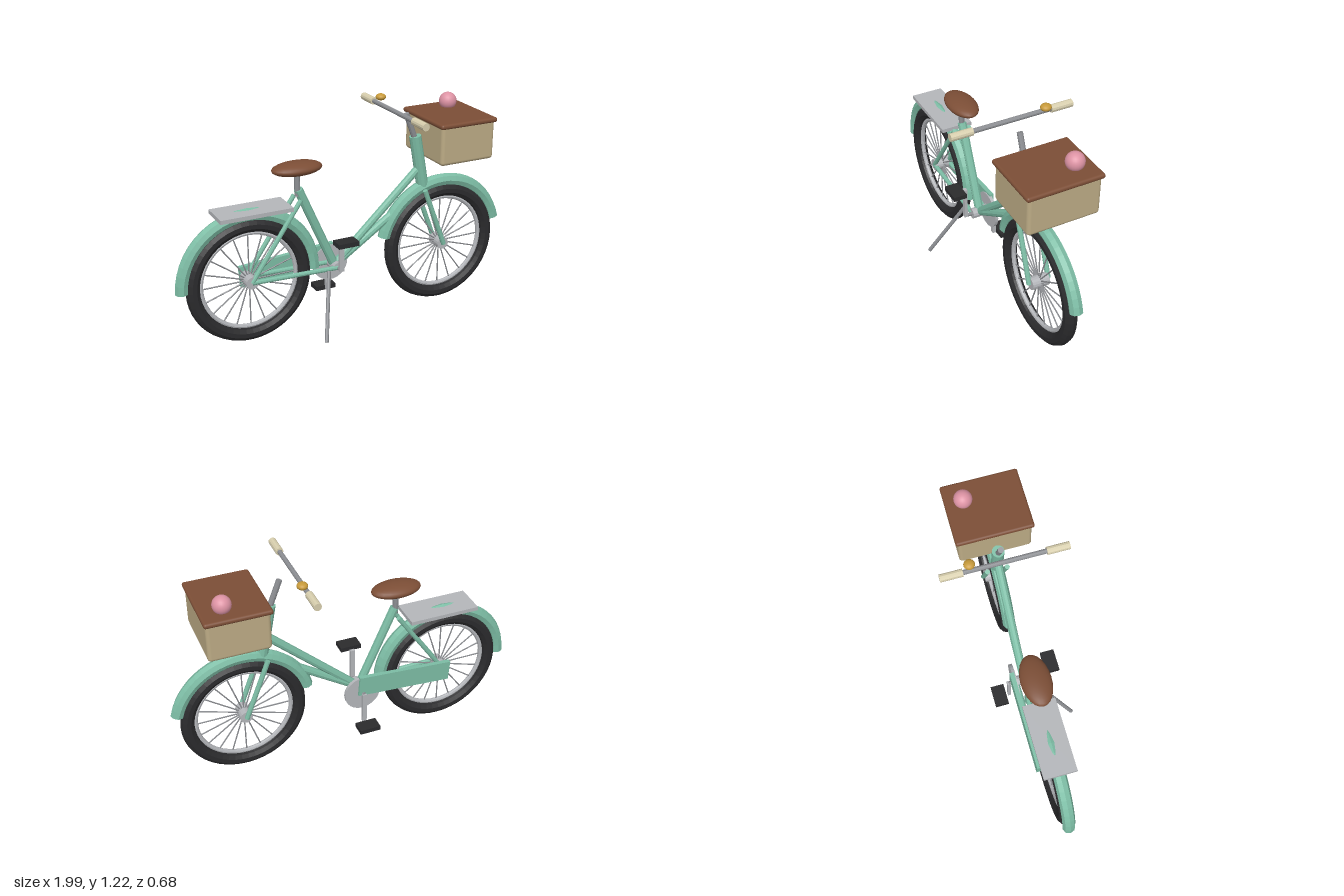
import * as THREE from 'three';
import { RoundedBoxGeometry } from 'three/addons/geometries/RoundedBoxGeometry.js';

const mat = (color, flatShading = true) => new THREE.MeshStandardMaterial({ color, flatShading });
const MINT = mat(0x7dbda5), SILVER = mat(0xb4b6ba), STEEL = mat(0x8c8e92), BLACK = mat(0x2b2b2d);
const TAN = mat(0xbcab85, false), BROWN = mat(0x7c4e36, false), CREAM = mat(0xd8cfae);
const PINK = mat(0xdd93a4, false), GOLD = mat(0xc79a3a, false);

export function createModel() {
  const bike = new THREE.Group();
  bike.name = 'bicycle';

  const add = (name, geometry, material, pos = [0, 0, 0], parent = bike) => {
    const mesh = new THREE.Mesh(geometry, material);
    mesh.name = name;
    mesh.position.set(...pos);
    parent.add(mesh);
    return mesh;
  };

  // Straight round bar between two points
  const bar = (name, a, b, radius, material, sides = 10, parent = bike) => {
    const start = new THREE.Vector3(...a), end = new THREE.Vector3(...b);
    const dir = end.clone().sub(start);
    const mesh = add(name, new THREE.CylinderGeometry(radius, radius, dir.length(), sides), material,
      start.add(end).multiplyScalar(0.5).toArray(), parent);
    mesh.quaternion.setFromUnitVectors(new THREE.Vector3(0, 1, 0), dir.normalize());
    return mesh;
  };
  const box = (name, size, material, pos) => add(name, new THREE.BoxGeometry(...size), material, pos);
  const ellipsoid = (name, radii, material, pos) =>
    add(name, new THREE.SphereGeometry(1, 24, 16), material, pos).scale.set(...radii);

  // Wheels: tyre, rim, hub and spokes
  const axleY = 0.36, spokes = 20;
  for (const [name, x] of [['rearWheel', -0.59], ['frontWheel', 0.59]]) {
    const wheel = new THREE.Group();
    wheel.name = name;
    wheel.position.set(x, axleY, 0);
    bike.add(wheel);
    add('tyre', new THREE.TorusGeometry(0.315, 0.039, 10, 48), BLACK, [0, 0, 0], wheel);
    add('rim', new THREE.TorusGeometry(0.271, 0.013, 8, 48), SILVER, [0, 0, 0], wheel);
    bar('hub', [0, 0, -0.05], [0, 0, 0.05], 0.035, SILVER, 16, wheel);
    for (let i = 0; i < spokes; i++) {
      const a = (i / spokes) * Math.PI * 2, c = Math.cos(a), s = Math.sin(a);
      bar('spoke', [c * 0.02, s * 0.02, 0], [c * 0.27, s * 0.27, 0], 0.004, STEEL, 5, wheel);
    }
  }

  // Mudguards: arcs centred over each wheel
  for (const [name, x, start] of [['rearMudguard', -0.59, 0], ['frontMudguard', 0.59, 0.24]]) {
    const geometry = new THREE.TorusGeometry(0.375, 0.036, 8, 24, Math.PI - 2 * start);
    const guard = add(name, geometry, mat(0x7dbda5), [x, axleY, 0]);
    guard.material.side = THREE.DoubleSide;
    guard.rotation.z = start;
  }

  // Step-through frame
  const crankX = -0.085, crankY = 0.345;
  bar('seatTube', [crankX, crankY, 0], [-0.295, 0.825, 0], 0.025, MINT);
  bar('upperDownTube', [crankX, crankY, 0], [0.44, 0.83, 0], 0.023, MINT);
  bar('lowerDownTube', [crankX, crankY, 0], [0.47, 0.71, 0], 0.023, MINT);
  bar('headTube', [0.415, 1.02, 0], [0.47, 0.72, 0], 0.034, MINT, 12);
  bar('bottomBracket', [crankX, crankY, -0.05], [crankX, crankY, 0.05], 0.03, SILVER, 12);
  for (const side of [-1, 1]) {
    bar('forkLeg', [0.455, 0.71, side * 0.057], [0.59, axleY, side * 0.057], 0.014, MINT);
    bar('chainStay', [crankX, crankY, side * 0.045], [-0.59, axleY, side * 0.045], 0.013, MINT);
    bar('seatStay', [-0.3, 0.78, side * 0.045], [-0.59, axleY, side * 0.045], 0.013, MINT);
  }

  // Saddle
  bar('seatPost', [-0.3, 0.79, 0], [-0.3, 0.94, 0], 0.016, STEEL);
  ellipsoid('saddle', [0.143, 0.037, 0.081], BROWN, [-0.3, 0.945, 0]);

  // Steering: stem, handlebar, grips, bell
  bar('stem', [0.415, 1.0, 0], [0.355, 1.155, 0], 0.016, STEEL);
  bar('handlebar', [0.275, 1.18, -0.33], [0.275, 1.18, 0.33], 0.013, STEEL);
  for (const side of [-1, 1])
    bar('grip', [0.275, 1.18, side * 0.22], [0.275, 1.18, side * 0.342], 0.021, CREAM, 12);
  ellipsoid('bell', [0.029, 0.019, 0.03], GOLD, [0.295, 1.212, -0.18]);

  // Front basket with lid and ball
  add('basket', new RoundedBoxGeometry(0.335, 0.23, 0.4, 3, 0.02), TAN, [0.634, 1.005, 0]);
  add('basketLid', new RoundedBoxGeometry(0.356, 0.028, 0.424, 3, 0.013), BROWN, [0.633, 1.114, 0]);
  ellipsoid('ball', [0.05, 0.05, 0.05], PINK, [0.69, 1.158, -0.112]);

  // Rear rack
  box('rearRack', [0.405, 0.022, 0.18], SILVER, [-0.563, 0.753, 0]);

  // Drive train: chainring, chain guard, cranks and pedals
  bar('chainring', [crankX, 0.34, -0.047], [crankX, 0.34, -0.065], 0.105, SILVER, 32);
  box('chainGuard', [0.56, 0.12, 0.025], MINT, [-0.34, 0.375, -0.066]).rotation.z = 0.07;
  bar('crankAxle', [crankX, crankY, -0.09], [crankX, crankY, 0.09], 0.01, STEEL);
  for (const side of [-1, 1]) {
    box('crankArm', [0.025, 0.19, 0.018], SILVER, [crankX, crankY + side * 0.092, side * 0.09]);
    box('pedal', [0.12, 0.026, 0.077], BLACK, [crankX, crankY + side * 0.187, side * 0.147]);
  }

  // Kickstand on the near side
  bar('kickstand', [-0.15, 0.345, 0.068], [-0.253, 0.02, 0.247], 0.011, STEEL, 8);

  return bike;
}
